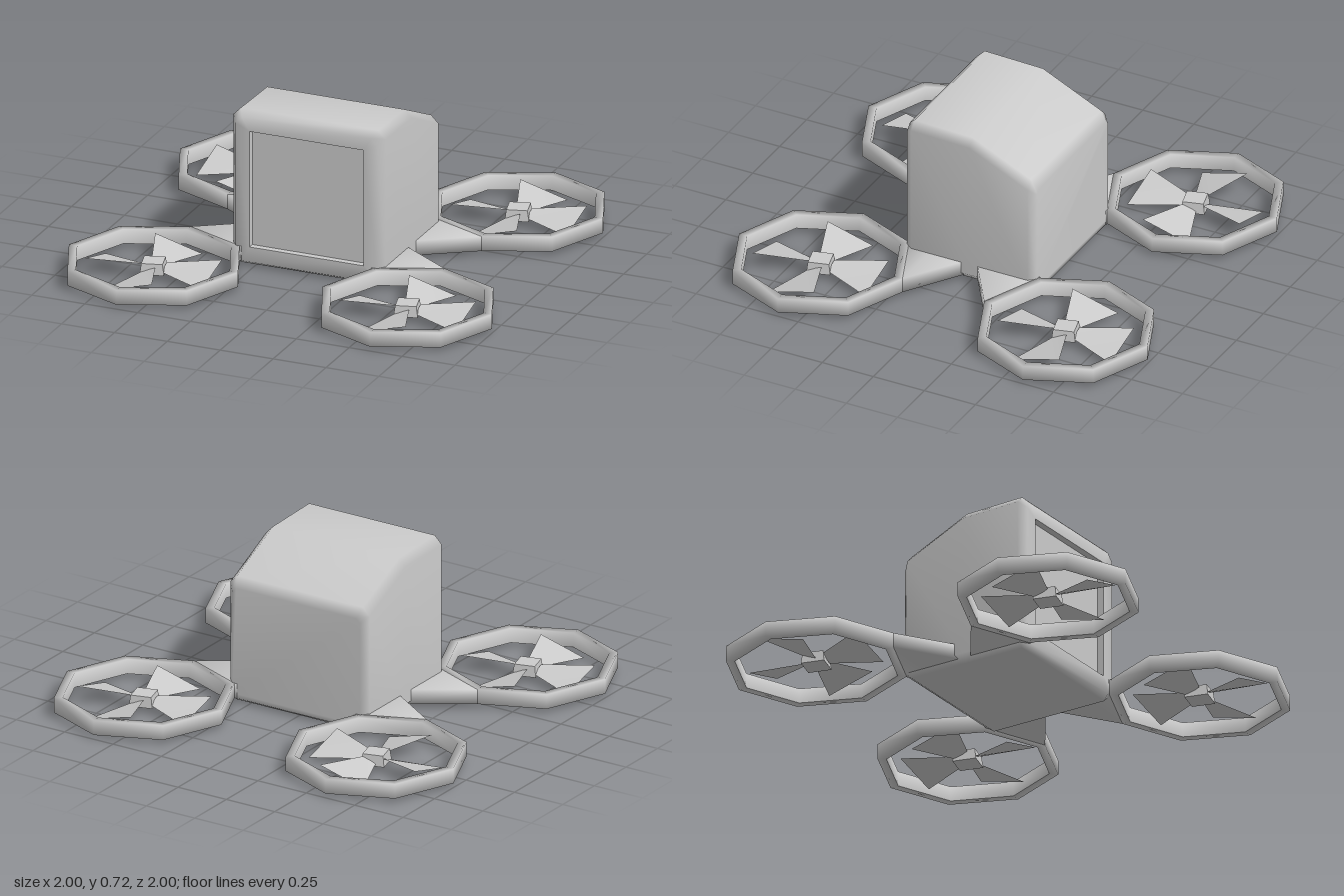
import * as THREE from 'three';

const grey = new THREE.MeshStandardMaterial({ color: 0xcccccc });
const thin = new THREE.MeshStandardMaterial({ color: 0xcccccc, side: THREE.DoubleSide });

function mesh(name, geometry, material = grey) {
  const m = new THREE.Mesh(geometry, material);
  m.name = name;
  return m;
}

function indexed(points, index) {
  const g = new THREE.BufferGeometry();
  g.setAttribute('position', new THREE.Float32BufferAttribute(points.flat(), 3));
  g.setIndex(index);
  g.computeVertexNormals();
  return g;
}

// Rectangle with cut corners, counter-clockwise seen from the front
function section({ z, w, y0, y1, c }) {
  return [
    [w, y0 + c, z], [w, y1 - c, z], [w - c, y1, z], [c - w, y1, z],
    [-w, y1 - c, z], [-w, y0 + c, z], [c - w, y0, z], [w - c, y0, z],
  ];
}

// Skin through the sections from front to back, closed at the back
function bodyGeometry() {
  const stations = [
    { z: 0.318, w: 0.27, y0: 0.09, y1: 0.63, c: 0 },
    { z: 0.318, w: 0.335, y0: 0.02, y1: 0.69, c: 0.03 },
    { z: 0.285, w: 0.36, y0: 0, y1: 0.72, c: 0.035 },
    { z: 0, w: 0.36, y0: 0, y1: 0.712, c: 0.035 },
    { z: -0.285, w: 0.36, y0: 0, y1: 0.58, c: 0.035 },
    { z: -0.316, w: 0.33, y0: 0.02, y1: 0.535, c: 0.02 },
  ];
  const index = [];
  for (let s = 0; s < stations.length - 1; s++) {
    for (let i = 0; i < 8; i++) {
      const j = (i + 1) % 8;
      const a = s * 8 + i, b = s * 8 + j, c = a + 8, d = b + 8;
      index.push(a, c, b, b, c, d);
    }
  }
  const last = (stations.length - 1) * 8;
  for (let i = 1; i < 7; i++) index.push(last, last + i + 1, last + i);
  return indexed(stations.flatMap(section), index);
}

// Flat arm from the ring's inner edge into the body
function armGeometry(sx, sz) {
  let plan = [[0.6, 0.2], [0.31, 0.32], [0.2, 0.2], [0.31, 0.008]];
  plan = plan.map(([x, z]) => [x * sx, z * sz]);
  if (sx * sz < 0) plan.reverse();
  const points = [0.02, 0.088].flatMap((y) => plan.map(([x, z]) => [x, y, z]));
  const index = [0, 2, 1, 0, 3, 2, 4, 5, 6, 4, 6, 7];
  for (let i = 0; i < 4; i++) {
    const j = (i + 1) % 4;
    index.push(i, j, i + 4, j, j + 4, i + 4);
  }
  // The plan must run counter-clockwise from above
  const area = plan.reduce((t, [x, z], i) => {
    const [u, v] = plan[(i + 1) % 4];
    return t + z * u - x * v;
  }, 0);
  if (area < 0) index.reverse();
  return indexed(points, index);
}

// Pitched blade widening towards its tip, pointing along +x
function bladeGeometry(pitch) {
  return indexed([
    [0.05, 0.055 + 0.012 * pitch, 0.03], [0.05, 0.055 - 0.012 * pitch, -0.03],
    [0.275, 0.055 - 0.03 * pitch, -0.112], [0.275, 0.055 + 0.03 * pitch, 0.112],
  ], [0, 3, 2, 0, 2, 1]);
}

function rotor(sx, sz) {
  const g = new THREE.Group();
  g.name = 'rotor';
  // Eight-sided guard ring
  const profile = [[0.36, 0.02], [0.4, 0.02], [0.4, 0.088], [0.36, 0.088], [0.36, 0.02]]
    .map(([r, y]) => new THREE.Vector2(r, y));
  g.add(mesh('guardRing', new THREE.LatheGeometry(profile, 8)));
  // Square hub
  const hubMaterial = grey.clone();
  hubMaterial.flatShading = true;
  const hub = mesh('hub', new THREE.CylinderGeometry(0.066, 0.075, 0.05, 4), hubMaterial);
  hub.position.y = 0.055;
  hub.rotation.y = 1.05;
  g.add(hub);
  // Four blades
  const pitch = sx < 0 && sz < 0 ? 1 : -1;
  for (let i = 0; i < 4; i++) {
    const blade = mesh('blade', bladeGeometry(pitch), thin);
    blade.rotation.y = i * Math.PI / 2;
    g.add(blade);
  }
  g.position.set(0.6 * sx, 0, 0.6 * sz);
  return g;
}

export function createModel() {
  const model = new THREE.Group();
  model.name = 'quadcopter';
  model.add(mesh('body', bodyGeometry()));

  // Recessed front screen with its four walls
  const screen = mesh('screen', new THREE.PlaneGeometry(0.54, 0.54));
  screen.position.set(0, 0.36, 0.287);
  model.add(screen);
  for (let i = 0; i < 4; i++) {
    const wall = new THREE.PlaneGeometry(0.54, 0.031);
    wall.rotateX(-Math.PI / 2).translate(0, -0.27, 0).rotateZ(i * Math.PI / 2);
    const m = mesh('screenWall', wall, thin);
    m.position.set(0, 0.36, 0.3025);
    model.add(m);
  }

  // Arms and rotors at the four corners
  for (const sx of [-1, 1]) {
    for (const sz of [-1, 1]) {
      model.add(mesh('arm', armGeometry(sx, sz)));
      model.add(rotor(sx, sz));
    }
  }
  return model;
}
